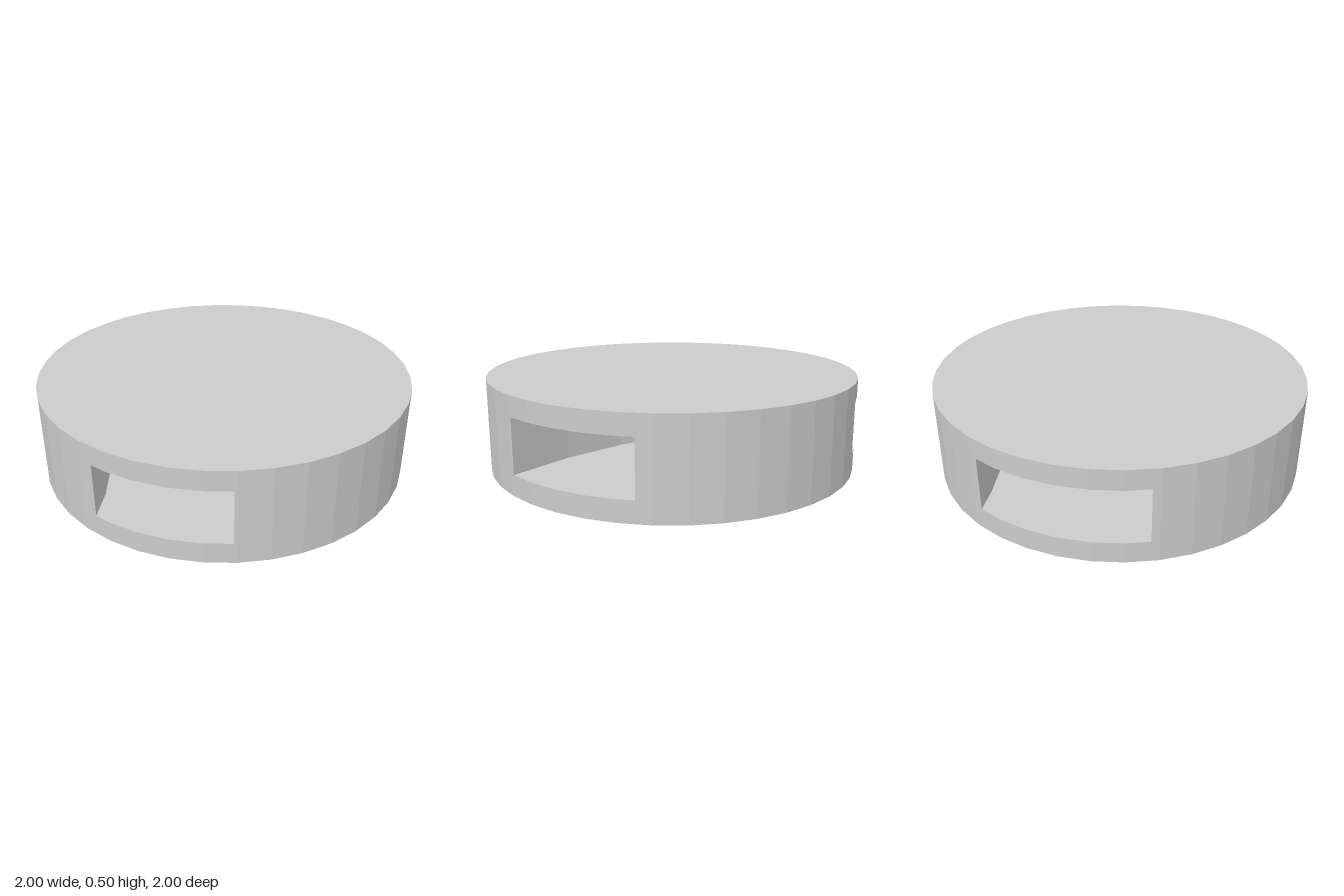
import * as THREE from 'three';

const SIDES = 40;
const HEIGHT = 0.5, FLOOR = 0.11, CEILING = 0.395;
const STEP = THREE.MathUtils.degToRad(8.44); // facet angle of the curved walls
const CENTRE = { x: -1, z: 2.07 };           // bend centre of one passage
const R_NEAR = 1.65, R_FAR = 2.32;           // passage wall radii

const material = new THREE.MeshStandardMaterial({ color: 0xcccccc, flatShading: true });

// Point on the many-sided rim at an angle in degrees, measured from +x to +z
function rimPoint(deg) {
  const seg = (Math.PI * 2) / SIDES;
  const a = THREE.MathUtils.degToRad(deg);
  const off = a - (Math.floor(a / seg + 1e-6) + 0.5) * seg;
  const r = Math.cos(seg / 2) / Math.cos(off);
  return new THREE.Vector2(r * Math.cos(a), r * Math.sin(a));
}

// Rim points between two angles, stopping at every rim corner on the way
function rimArc(from, to) {
  const pts = [rimPoint(from)];
  const seg = 360 / SIDES;
  for (let k = Math.ceil(from / seg + 1e-6); k * seg < to - 1e-3; k++) pts.push(rimPoint(k * seg));
  pts.push(rimPoint(to));
  return pts;
}

// Corner of a curved passage wall
function wallPoint(radius, step) {
  const t = step * STEP;
  return new THREE.Vector2(CENTRE.x + radius * Math.sin(t), CENTRE.z - radius * Math.cos(t));
}

// Plan outline (x, z) raised between two heights
function slab(name, points, bottom, top) {
  const geometry = new THREE.ExtrudeGeometry(new THREE.Shape(points), {
    depth: top - bottom, bevelEnabled: false,
  });
  geometry.rotateX(Math.PI / 2);
  geometry.translate(0, top, 0);
  const mesh = new THREE.Mesh(geometry, material);
  mesh.name = name;
  return mesh;
}

const mirrored = (points) => points.map((p) => new THREE.Vector2(p.x, -p.y)).reverse();

export function createModel() {
  const group = new THREE.Group();
  group.name = 'forkedPassageDisc';

  // Solid floor and lid
  const disc = rimArc(0, 360).slice(0, -1);
  group.add(slab('bottomDisc', disc, 0, FLOOR));
  group.add(slab('topDisc', disc, CEILING, HEIGHT));

  // Side blocks between the wide opening and each of the two narrower ones
  const side = [
    ...rimArc(76.7, 155.2),
    ...[1, 2, 3, 4, 5].map((i) => wallPoint(R_NEAR, i)),
  ];
  group.add(slab('frontSideBlock', side, FLOOR, CEILING));
  group.add(slab('backSideBlock', mirrored(side), FLOOR, CEILING));

  // Pointed block that splits the passage in two
  const a = wallPoint(R_FAR, 3), b = wallPoint(R_FAR, 4);
  const tip = new THREE.Vector2(a.x + (b.x - a.x) * (-a.y / (b.y - a.y)), 0);
  const wall = [b, wallPoint(R_FAR, 5)];
  const divider = [tip, ...mirrored(wall).reverse(), ...rimArc(-36.9, 36.9), ...wall.slice().reverse()];
  group.add(slab('dividerBlock', divider, FLOOR, CEILING));

  return group;
}
